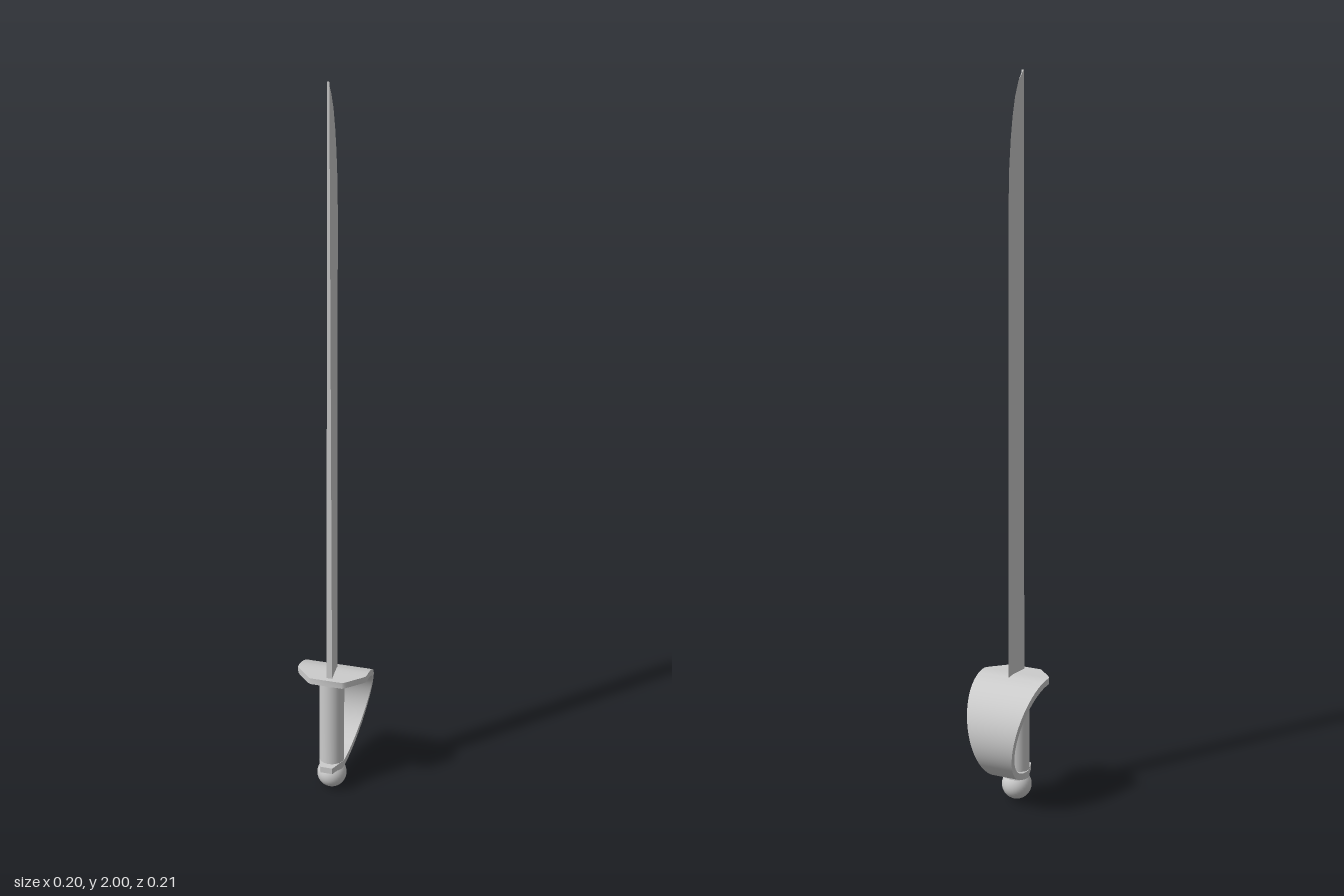
import * as THREE from 'three';
import { toCreasedNormals } from 'three/addons/utils/BufferGeometryUtils.js';

const material = new THREE.MeshStandardMaterial({ color: 0xcccccc });

// Skin equal-length cross-sections and close both ends.
function loft(sections) {
  const n = sections[0].length, last = (sections.length - 1) * n, index = [];
  for (let i = 0; i < sections.length - 1; i++) {
    for (let j = 0; j < n; j++) {
      const a = i * n + j, b = i * n + (j + 1) % n;
      index.push(a, b, b + n, a, b + n, a + n);
    }
  }
  for (let j = 1; j < n - 1; j++) {
    index.push(0, j + 1, j, last, last + j, last + j + 1);
  }
  const geometry = new THREE.BufferGeometry();
  geometry.setAttribute('position', new THREE.Float32BufferAttribute(sections.flat(2), 3));
  geometry.setIndex(index);
  return toCreasedNormals(geometry, 0.5);
}

function part(name, geometry, x = 0, y = 0, z = 0) {
  const mesh = new THREE.Mesh(geometry, material);
  mesh.name = name;
  mesh.position.set(x, y, z);
  return mesh;
}

// Wedge blade: flat spine at +z, cutting edge sweeping back to the tip.
function bladeGeometry() {
  const profile = [
    [0.34, 0.008], [1.68, 0.008], [1.75, 0.011], [1.82, 0.019],
    [1.88, 0.03], [1.93, 0.044], [1.97, 0.063], [2.0, 0.087],
  ];
  return loft(profile.map(([y, edge]) => {
    const t = 0.008 - 0.005 * (y - 0.34) / 1.66;
    return [[-t, y, 0.088], [t, y, 0.088], [0, y, edge]];
  }));
}

// Hand guard: a curved sheet that narrows downward, with chamfered ends.
function guardGeometry() {
  const zc = 0.043, yc = 0.219, r = 0.14, half = 0.009, stations = [];
  const width = (y) => 0.037 + 0.063 * (y - 0.079) / 0.28;
  // Distance past the arc and fraction of the full width there.
  const end = [[0.06, 0.45], [0.057, 0.51], [0.05, 0.58], [0.015, 0.92], [0.007, 0.98]];
  for (const [d, f] of end) stations.push([zc + d, yc + r, 0, 1, f]);
  for (let i = 0; i <= 40; i++) {
    const a = Math.PI * i / 40;
    stations.push([zc - r * Math.sin(a), yc + r * Math.cos(a), -Math.sin(a), Math.cos(a), 1]);
  }
  for (const [d, f] of end.slice().reverse()) stations.push([zc + d, yc - r, 0, -1, f]);
  return loft(stations.map(([z, y, nz, ny, f]) => {
    const w = width(y) * f;
    const yo = y + ny * half, zo = z + nz * half;
    const yi = y - ny * half, zi = z - nz * half;
    return [[-w, yo, zo], [w, yo, zo], [w, yi, zi], [-w, yi, zi]];
  }));
}

export function createModel() {
  const model = new THREE.Group();
  model.name = 'sabre';
  model.add(
    part('blade', bladeGeometry(), 0.005),
    part('handGuard', guardGeometry()),
    part('grip', new THREE.CylinderGeometry(0.035, 0.035, 0.29, 32), 0, 0.21, 0.048),
    part('pommel', new THREE.SphereGeometry(0.042, 32, 20), 0, 0.042, 0.048),
  );
  return model;
}
